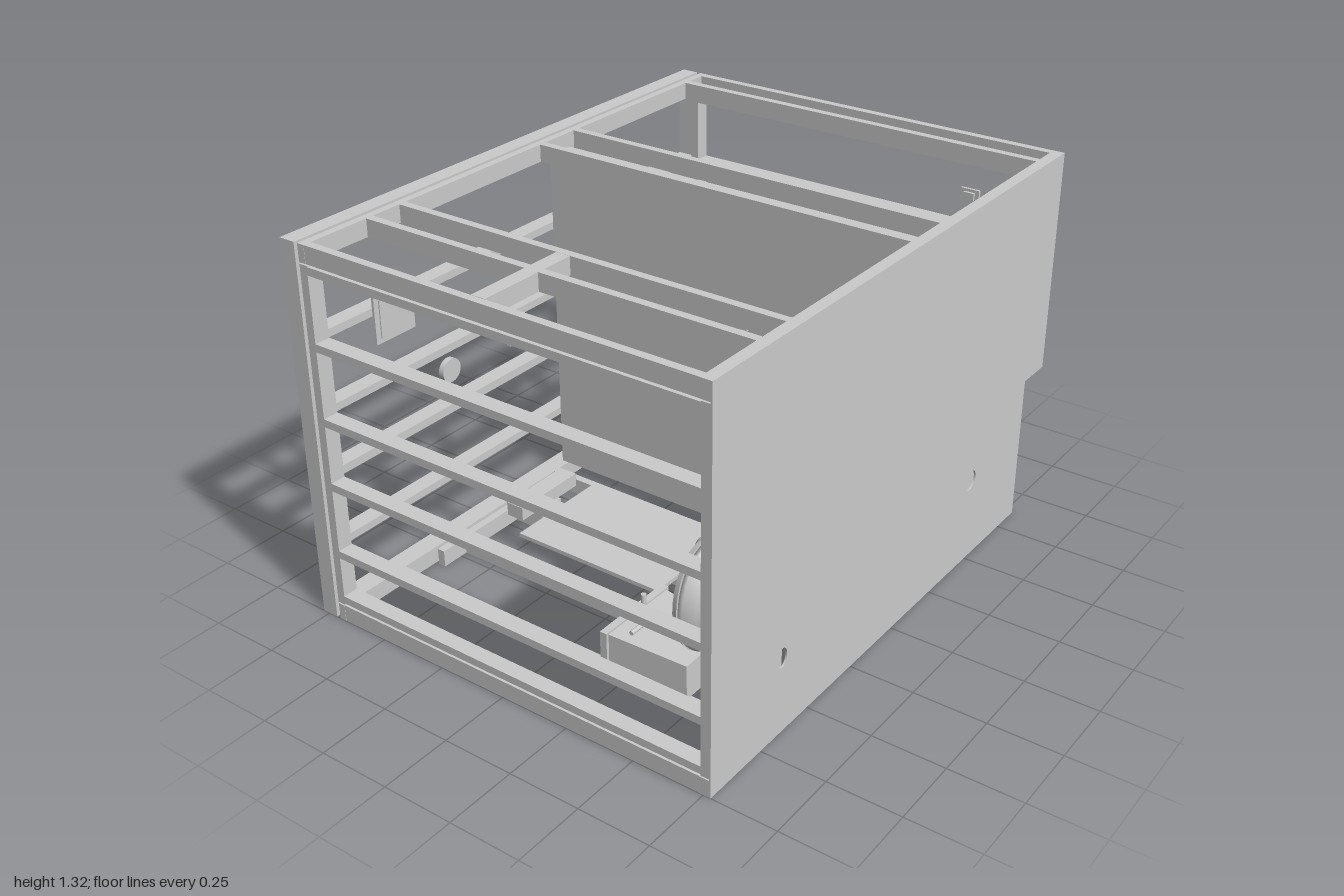
import * as THREE from 'three';

export function createModel() {
  const root = new THREE.Group();
  const mat = new THREE.MeshStandardMaterial({ color: 0xcccccc });
  const add = (name, geo, x = 0, y = 0, z = 0, parent = root) => {
    const m = new THREE.Mesh(geo, mat);
    m.name = name;
    m.position.set(x, y, z);
    parent.add(m);
    return m;
  };
  // box given by its limits along each axis
  const box = (name, x0, x1, y0, y1, z0, z1, parent = root) =>
    add(name, new THREE.BoxGeometry(x1 - x0, y1 - y0, z1 - z0), (x0 + x1) / 2, (y0 + y1) / 2, (z0 + z1) / 2, parent);
  // round bar between two points, optionally tapered
  const rod = (name, a, b, r, r2 = r, parent = root) => {
    const A = new THREE.Vector3(...a), B = new THREE.Vector3(...b);
    const d = B.clone().sub(A);
    const m = add(name, new THREE.CylinderGeometry(r2, r, d.length(), 20), 0, 0, 0, parent);
    m.position.copy(A).lerp(B, 0.5);
    m.quaternion.setFromUnitVectors(new THREE.Vector3(0, 1, 0), d.normalize());
    return m;
  };
  const tube = (name, pts, r, parent = root) =>
    add(name, new THREE.TubeGeometry(new THREE.CatmullRomCurve3(pts.map(p => new THREE.Vector3(...p))), 24, r, 10), 0, 0, 0, parent);
  const group = name => {
    const g = new THREE.Group();
    g.name = name;
    root.add(g);
    return g;
  };
  const zf = -0.70, zb = 0.77; // ends of the wall studs

  // stepped floor slab with two drain openings
  const slab = new THREE.Shape([[-1, 0], [0.865, 0], [0.865, 0.53], [1, 0.53], [1, 1.32], [-1, 1.32]].map(p => new THREE.Vector2(...p)));
  const drain = new THREE.Path();
  drain.absarc(0.5, 0.31, 0.036, 0, Math.PI * 2, true);
  const outlet = new THREE.Path();
  outlet.absellipse(-0.645, 0.27, 0.026, 0.034, 0, Math.PI * 2, true);
  slab.holes.push(drain, outlet);
  add('floorSlab', new THREE.ExtrudeGeometry(slab, { depth: 0.006, bevelEnabled: false, curveSegments: 24 }), 0, 0, 0.769);

  // joist frame opposite the slab
  const joists = group('joistFrame');
  const j = (...b) => box('joist', ...b, -0.775, -0.715, joists);
  j(-0.97, 0.835, 0, 0.035);
  j(-0.97, 0.97, 1.285, 1.32);
  j(-1, -0.97, 0, 1.32);
  j(0.97, 1, 0.53, 1.32);
  j(0.835, 0.865, 0, 0.53);
  j(0.865, 0.97, 0.53, 0.56);
  for (const y of [0.245, 0.72, 0.975]) j(-0.97, y < 0.5 ? 0.835 : 0.97, y, y + 0.027);
  j(-0.97, 0.835, 0.495, 0.525);

  // lower wall with doubled plate and studs
  const low = group('lowerWall');
  box('plate', -1, 0.865, 0, 0.06, zf, zf + 0.026, low);
  box('plate', -0.58, 0.05, 0, 0.06, -0.66, -0.632, low);
  box('plate', 0.25, 0.865, 0, 0.06, -0.66, -0.632, low);
  box('plate', -1, 0.865, 0, 0.06, 0.735, zb, low);
  for (const x of [-0.985, -0.735, -0.46, -0.197, 0.065, 0.33, 0.59, 0.85])
    box('stud', x - 0.014, x + 0.014, 0, 0.06, zf + 0.026, 0.735, low);

  // upper wall with openings
  const up = group('upperWall');
  box('plate', -1, 1, 1.26, 1.32, zf, zf + 0.026, up);
  box('plate', -1, 1, 1.26, 1.32, 0.735, zb, up);
  for (const x of [-0.985, -0.735, -0.595, 0.065, 0.24, 0.885, 0.985])
    box('stud', x - 0.014, x + 0.014, 1.26, 1.32, zf + 0.026, 0.735, up);
  box('crossBlock', -0.97, -0.61, 1.26, 1.32, -0.05, 0.0, up);

  // side walls: plates at both ends, studs in between
  const side = (name, x0, x1, y0, y1, studs) => {
    const g = group(name);
    box('plate', x0, x1, y0, y1, zf, zf + 0.03, g);
    box('plate', x0, x1, y0, y1, 0.74, zb, g);
    for (const y of studs) box('stud', x0, x1, y, y + 0.027, zf + 0.03, 0.74, g);
  };
  side('rightWall', -1, -0.945, 0.065, 1.255, [0.07, 0.243, 0.492, 0.72, 0.975, 1.225]);
  side('leftUpperWall', 0.945, 1, 0.595, 1.255, [0.597, 0.718, 0.975, 1.225]);
  side('leftLowerWall', 0.81, 0.865, 0.07, 0.525, [0.072, 0.243, 0.492]);
  // short return wall of the step
  const step = group('stepWall');
  for (const x of [0.81, 0.87, 0.972]) box('stud', x, x + 0.028, 0.53, 0.59, zf + 0.026, 0.74, step);
  box('plate', 0.81, 1, 0.53, 0.59, zf, zf + 0.026, step);
  box('plate', 0.81, 1, 0.53, 0.59, 0.74, zb, step);

  box('partition', 0.13, 0.2, 0.06, 1.27, zf, 0.735);

  // pull bars on both faces of the partition
  for (const [x, s] of [[0.2, 1], [0.13, -1]]) {
    const g = group('pullBar');
    const xo = x + s * 0.03;
    rod('bar', [xo, 0.45, 0.12], [xo, 0.84, 0.12], 0.01, 0.01, g);
    for (const y of [0.45, 0.84]) {
      rod('flange', [x, y, 0.12], [x + s * 0.01, y, 0.12], 0.026, 0.026, g);
      rod('standoff', [x, y, 0.12], [xo, y, 0.12], 0.012, 0.012, g);
    }
  }

  // vents and round lamps set under the joists
  for (const [x, y] of [[-0.64, 0.96], [0.5, 0.96], [0.5, 0.37]]) {
    const g = group('vent');
    box('ventPlate', x - 0.085, x + 0.085, y - 0.083, y + 0.083, -0.713, -0.704, g);
    box('ventCore', x - 0.065, x + 0.065, y - 0.065, y + 0.065, -0.725, -0.7, g);
  }
  for (const x of [0.5, -0.41]) rod('roundLamp', [x, 0.66, -0.72], [x, 0.66, -0.7], 0.042);
  box('sensor', -0.12, -0.05, 0.63, 0.7, -0.715, -0.7);

  // mirror and lamp on the lower wall
  box('mirror', -0.365, 0.028, 0.065, 0.08, -0.48, 0.11);
  const lamp = group('mirrorLamp');
  box('lampMount', -0.22, -0.12, 0.06, 0.09, -0.595, -0.5, lamp);
  box('lampShade', -0.31, -0.02, 0.09, 0.14, -0.58, -0.512, lamp);

  // wall tap
  const tap = group('wallTap');
  tube('spout', [[-0.17, 0.06, 0.15], [-0.17, 0.14, 0.13], [-0.17, 0.19, 0.15], [-0.17, 0.2, 0.19]], 0.01, tap);
  for (const x of [-0.22, -0.12]) {
    rod('handleStem', [x, 0.06, 0.16], [x, 0.11, 0.16], 0.012, 0.012, tap);
    box('handle', x - 0.02, x + 0.02, 0.105, 0.117, 0.153, 0.167, tap);
  }
  for (const [x, z] of [[-0.2, 0.28], [-0.13, 0.28], [-0.165, 0.35]])
    rod('pipeStub', [x, 0.05, z], [x, 0.08, z], 0.008);

  // toilet, its height running along -z from the slab
  const toilet = group('toilet');
  const cx = -0.645;
  const tank = new THREE.CylinderGeometry(1, 0.86, 0.28, 4, 1).rotateY(Math.PI / 4).rotateX(-Math.PI / 2);
  tank.scale(0.145 * Math.SQRT2, 0.07 * Math.SQRT2, 1);
  const tankMesh = add('tank', tank.toNonIndexed(), cx, 0.145, 0.385, toilet);
  tankMesh.geometry.computeVertexNormals();
  box('tankLid', cx - 0.155, cx + 0.155, 0.068, 0.222, 0.225, 0.25, toilet);
  const bowl = new THREE.LatheGeometry([[0, 0], [0.07, 0], [0.065, 0.06], [0.075, 0.12], [0.12, 0.18], [0.135, 0.22], [0.135, 0.235], [0, 0.235]]
    .map(p => new THREE.Vector2(...p)), 32).rotateX(-Math.PI / 2).scale(1, 1.35, 1);
  add('bowl', bowl, cx, 0.38, 0.735, toilet);
  const lid = new THREE.CylinderGeometry(0.132, 0.138, 0.018, 32).rotateX(-Math.PI / 2).scale(1, 1.35, 1);
  add('seatLid', lid, cx, 0.38, 0.488, toilet);
  box('pedestal', cx - 0.06, cx + 0.06, 0.1, 0.36, 0.53, 0.735, toilet);

  // paper holder on the right wall
  rod('paperHolder', [-0.945, 0.4, 0.46], [-0.88, 0.4, 0.46], 0.007);
  rod('paperBar', [-0.885, 0.4, 0.46], [-0.885, 0.5, 0.46], 0.008);

  // shower: tray, head, valve and spout
  const tray = group('showerTray');
  box('trayBase', 0.21, 0.805, 0.06, 0.59, 0.745, 0.765, tray);
  box('curb', 0.21, 0.805, 0.56, 0.59, 0.69, 0.745, tray);
  box('trayRim', 0.25, 0.805, 0.06, 0.08, 0.69, 0.745, tray);
  const shower = group('shower');
  rod('armFlange', [0.81, 0.33, -0.5], [0.8, 0.33, -0.5], 0.02, 0.02, shower);
  tube('arm', [[0.81, 0.33, -0.5], [0.76, 0.33, -0.505], [0.73, 0.33, -0.49], [0.71, 0.33, -0.47]], 0.009, shower);
  rod('head', [0.72, 0.33, -0.48], [0.685, 0.33, -0.44], 0.012, 0.037, shower);
  rod('valvePlate', [0.81, 0.33, 0.02], [0.798, 0.33, 0.02], 0.057, 0.057, shower);
  rod('valveStem', [0.8, 0.33, 0.02], [0.74, 0.33, 0.02], 0.016, 0.016, shower);
  box('valveCross', 0.738, 0.752, 0.305, 0.355, 0.012, 0.028, shower);
  box('valveCross', 0.738, 0.752, 0.322, 0.338, -0.005, 0.045, shower);
  box('soapHook', 0.7, 0.715, 0.06, 0.11, -0.265, -0.205);

  // electrical box on the upper left wall and small pins on the lower wall
  box('outletPlate', 0.935, 0.945, 1.1, 1.145, 0.44, 0.51);
  box('outletBox', 0.925, 0.96, 1.11, 1.135, 0.455, 0.495);
  for (const z of [0.28, 0.57]) rod('pin', [0.7, 0.05, z], [0.7, 0.075, z], 0.008);

  return root;
}
